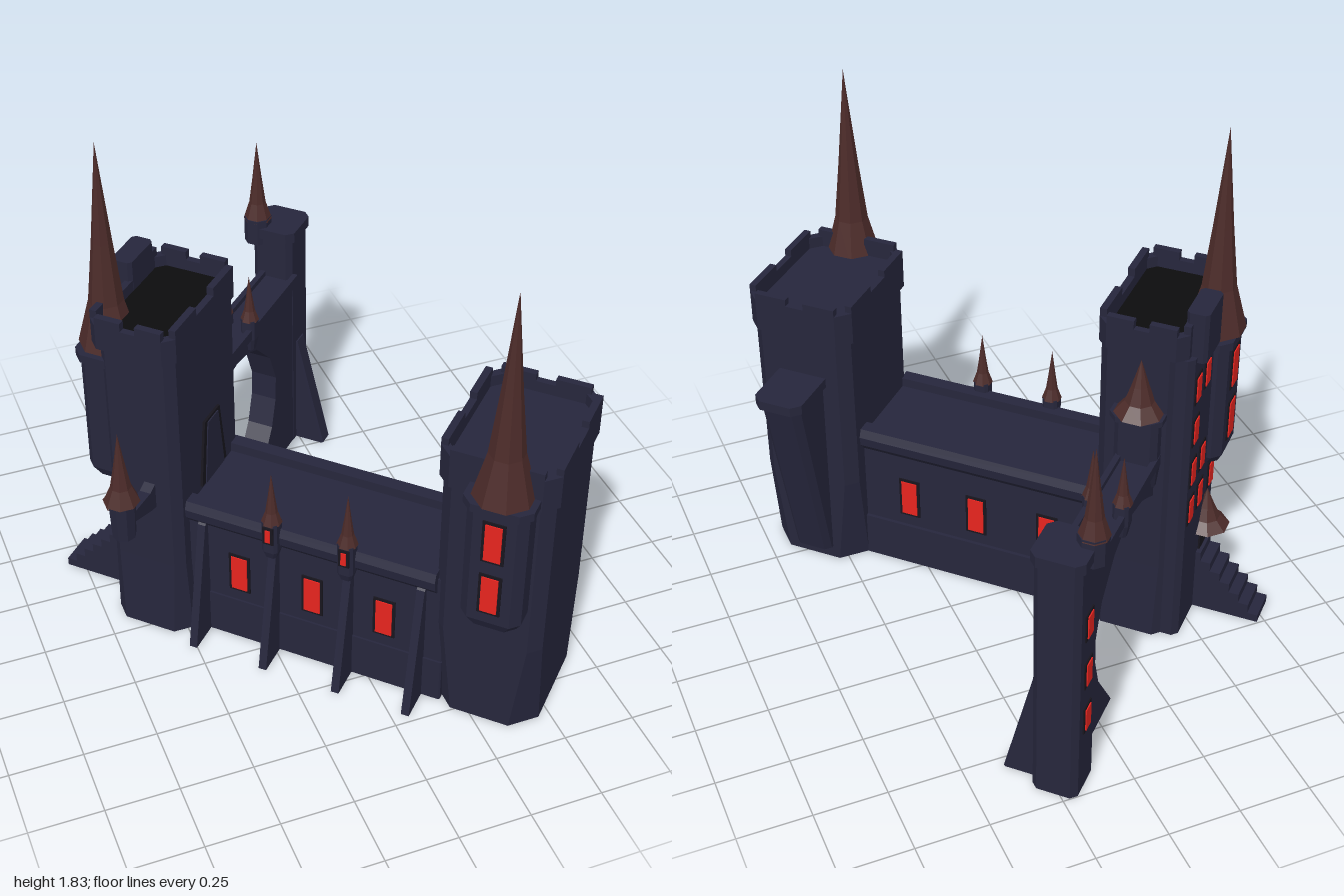
import * as THREE from 'three';

const mat = (name, color) => {
  const m = new THREE.MeshStandardMaterial({ color });
  m.name = name;
  m.flatShading = true;
  return m;
};

export function createModel() {
  const stone = mat('navyStone', 0x26263c);
  const roof = mat('brownRoof', 0x4c2b29);
  const glow = mat('redGlass', 0xe8241f);
  const trim = mat('darkTrim', 0x17151d);
  const pitch = mat('blackFloor', 0x0c0c0d);

  const root = new THREE.Group();
  root.name = 'castle';
  // The castle is laid out on its own axes, then turned by an eighth
  const plan = new THREE.Group();
  plan.name = 'castlePlan';
  plan.rotation.y = -Math.PI / 4;
  root.add(plan);

  const add = (name, geo, m, parent = plan) => {
    const mesh = new THREE.Mesh(geo, m);
    mesh.name = name;
    parent.add(mesh);
    return mesh;
  };
  const ring = (hw, hd, c) => [[hw, c - hd], [hw, hd - c], [hw - c, hd], [c - hw, hd],
    [-hw, hd - c], [-hw, c - hd], [c - hw, -hd], [hw - c, -hd]];

  // Chamfered block lofted through levels of [y, x0, x1, z0, z1, chamfer]
  function block(name, levels, m = stone, parent = plan) {
    const rows = levels.map(([y, x0, x1, z0, z1, c]) =>
      ring((x1 - x0) / 2, (z1 - z0) / 2, c).map(([x, z]) => [x + (x0 + x1) / 2, y, z + (z0 + z1) / 2]));
    const pos = [];
    const tri = (...p) => p.forEach((q) => pos.push(...q));
    for (let r = 0; r + 1 < rows.length; r++) {
      const b = rows[r], t = rows[r + 1];
      for (let i = 0; i < 8; i++) {
        const j = (i + 1) % 8;
        tri(b[i], t[i], b[j]);
        tri(b[j], t[i], t[j]);
      }
    }
    const lo = rows[0], hi = rows[rows.length - 1];
    for (let i = 1; i < 7; i++) {
      tri(lo[0], lo[i], lo[i + 1]);
      tri(hi[0], hi[i + 1], hi[i]);
    }
    const g = new THREE.BufferGeometry();
    g.setAttribute('position', new THREE.Float32BufferAttribute(pos, 3));
    g.computeVertexNormals();
    return add(name, g, m, parent);
  }
  const slab = (name, y0, y1, x0, x1, z0, z1, c = 0.01, m = stone, parent = plan) =>
    block(name, [[y0, x0, x1, z0, z1, c], [y1, x0, x1, z0, z1, c]], m, parent);

  // Outline in (z, y) extruded across x
  function fin(name, pts, cx, t, m = stone) {
    const s = new THREE.Shape(pts.map((p) => new THREE.Vector2(...p)));
    const g = new THREE.ExtrudeGeometry(s, { depth: t, bevelEnabled: false });
    g.rotateY(-Math.PI / 2).translate(cx + t / 2, 0, 0);
    return add(name, g, m);
  }

  // Concave eight-sided spire
  function spire(name, x, y, z, r, h, parent = plan) {
    const pts = [[0, 0], [r, 0], [r * 0.58, h * 0.22], [r * 0.34, h * 0.52], [0, h]];
    const g = new THREE.LatheGeometry(pts.map((p) => new THREE.Vector2(...p)), 8);
    add(name, g.rotateY(Math.PI / 8).translate(x, y, z), roof, parent);
  }

  // Framed window facing +z before it is turned
  function windowAt(x, y, z, turn, w, h, parent = plan) {
    const g = new THREE.Group();
    g.name = 'window';
    g.position.set(x, y, z);
    g.rotation.y = turn;
    parent.add(g);
    add('windowFrame', new THREE.BoxGeometry(w + 0.02, h + 0.02, 0.009), trim, g);
    add('windowPane', new THREE.BoxGeometry(w, h, 0.009).translate(0, 0, 0.004), glow, g);
  }

  // Hollow battlement with low merlons and a sunken floor
  function crown(name, x0, x1, z0, z1, y0, y1, y2, c, floorMat) {
    const hw = (x1 - x0) / 2, hd = (z1 - z0) / 2, cx = (x0 + x1) / 2, cz = (z0 + z1) / 2, t = 0.024;
    const vec = (a) => a.map((p) => new THREE.Vector2(...p));
    const s = new THREE.Shape(vec(ring(hw, hd, c)));
    s.holes.push(new THREE.Path(vec(ring(hw - t, hd - t, c * 0.8).reverse())));
    const g = new THREE.ExtrudeGeometry(s, { depth: y1 - y0, bevelEnabled: false });
    add(name, g.rotateX(-Math.PI / 2).translate(cx, y0, cz), stone);
    slab(name + 'Floor', y0, y1 - 0.04, x0 + t / 2, x1 - t / 2, z0 + t / 2, z1 - t / 2, c * 0.9, floorMat);
    for (const a of [-1, 1]) for (const b of [-1, 1]) {
      const lx = hw * 0.6, lz = hd * 0.6;
      add(name + 'Merlon', new THREE.BoxGeometry(lx, y2 - y1, t)
        .translate(cx + a * (hw - c - lx / 2), (y1 + y2) / 2, cz + b * (hd - t / 2)), stone);
      add(name + 'Merlon', new THREE.BoxGeometry(t, y2 - y1, lz)
        .translate(cx + a * (hw - t / 2), (y1 + y2) / 2, cz + b * (hd - c - lz / 2)), stone);
    }
  }

  // Hanging bay with two windows and a tall spire
  function bayTurret(name, x, z, top, turn) {
    const g = new THREE.Group();
    g.name = name;
    g.position.set(x, top, z);
    g.rotation.y = turn;
    plan.add(g);
    block('turretBody', [[-0.51, -0.08, 0.08, -0.1, 0.045, 0.03], [-0.47, -0.1, 0.1, -0.1, 0.065, 0.03],
      [-0.03, -0.1, 0.1, -0.1, 0.065, 0.03]], stone, g);
    slab('turretLedge', -0.03, 0, -0.113, 0.113, -0.1, 0.078, 0.035, stone, g);
    spire('turretSpire', 0, 0, -0.005, 0.1, 0.73, g);
    for (const y of [-0.14, -0.35]) windowAt(0, y, 0.065, 0, 0.055, 0.14, g);
  }

  // Keep, with its window facade towards -x
  block('keepBody', [[0, -0.585, -0.295, -0.045, 0.435, 0.05], [0.3, -0.575, -0.305, -0.035, 0.425, 0.03],
    [1.16, -0.575, -0.305, -0.035, 0.425, 0.03]]);
  slab('keepFacade', 0, 1.16, -0.62, -0.5, -0.02, 0.32, 0.02);
  crown('keepCrown', -0.6, -0.295, -0.04, 0.44, 1.16, 1.25, 1.28, 0.035, pitch);
  slab('keepHighMerlon', 1.14, 1.32, -0.65, -0.575, 0.015, 0.175, 0.012);
  bayTurret('keepTurret', -0.6, 0.306, 1.1, -Math.PI / 2);
  for (const [z, y] of [[0.04, 1.03], [0.04, 0.86], [0.04, 0.69], [0.04, 0.53], [0.138, 1.03],
    [0.138, 0.69], [0.138, 0.53], [0.263, 0.53]]) windowAt(-0.62, y, z, -Math.PI / 2, 0.042, 0.09);

  // Roof door of the keep, a tapered plate in a dark surround
  fin('roofDoorFrame', [[0.085, 0.55], [0.268, 0.55], [0.232, 0.8], [0.122, 0.8]], -0.302, 0.012, trim);
  fin('roofDoor', [[0.108, 0.55], [0.245, 0.55], [0.215, 0.79], [0.14, 0.79]], -0.299, 0.014);

  // Entrance stair, door and hood
  const steps = new THREE.Shape();
  steps.moveTo(-0.6, 0);
  steps.lineTo(-0.86, 0);
  for (let i = 0; i < 7; i++) {
    const x = -0.86 + i * 0.037, y = 0.03 + i * 0.036;
    steps.lineTo(x, y);
    steps.lineTo(x + 0.037, y);
  }
  add('entranceStair', new THREE.ExtrudeGeometry(steps, { depth: 0.12, bevelEnabled: false })
    .translate(0, 0, 0.16), stone);
  add('entranceDoor', new THREE.BoxGeometry(0.009, 0.12, 0.08).translate(-0.622, 0.3, 0.22), trim);
  spire('entranceHood', -0.63, 0.34, 0.22, 0.085, 0.15);

  // Door house from the keep to the wall walk
  block('walkDoorHouse', [[0.66, -0.52, -0.39, -0.06, 0, 0.01], [0.74, -0.53, -0.38, -0.09, 0, 0.02],
    [0.93, -0.53, -0.38, -0.09, 0, 0.02]]);
  slab('walkDoorLedge', 0.93, 0.95, -0.545, -0.365, -0.11, 0, 0.03);
  spire('walkDoorHood', -0.456, 0.95, -0.05, 0.085, 0.2);

  // Bartizan on a bracket
  fin('bartizanBracket', [[0.42, 0.55], [0.46, 0.56], [0.6, 0.61], [0.6, 0.64], [0.46, 0.635], [0.42, 0.65]], -0.41, 0.04);
  add('bartizanBody', new THREE.CylinderGeometry(0.046, 0.04, 0.15, 8).translate(-0.41, 0.645, 0.608), stone);
  spire('bartizanSpire', -0.41, 0.715, 0.608, 0.06, 0.27);

  // Great hall with rolled cornices
  slab('hallBody', 0, 0.53, -0.35, 0.62, 0, 0.355, 0.005);
  slab('hallPlinth', 0, 0.17, -0.35, 0.62, -0.012, 0.362, 0.005);
  for (const [z, s] of [[0.355, 1], [0, -1]]) {
    fin('hallCornice', [[z - 0.03 * s, 0.565], [z - 0.03 * s, 0.47], [z, 0.47], [z + 0.025 * s, 0.5],
      [z + 0.03 * s, 0.535], [z + 0.018 * s, 0.565]], 0.14, 0.9);
    for (const x of [-0.12, 0.15, 0.41]) windowAt(x, 0.295, z, s > 0 ? 0 : Math.PI, 0.058, 0.14);
  }
  [-0.25, 0.015, 0.285, 0.54].forEach((x, i) => {
    fin('hallButtress', [[0.34, 0], [0.475, 0], [0.375, 0.48], [0.34, 0.5]], x, 0.028);
    if (i === 1 || i === 2) {
      block('smallTurretBody', [[0.45, x - 0.02, x + 0.02, 0.36, 0.4, 0.008],
        [0.48, x - 0.028, x + 0.028, 0.352, 0.41, 0.01], [0.6, x - 0.028, x + 0.028, 0.352, 0.41, 0.01]]);
      windowAt(x, 0.555, 0.41, 0, 0.018, 0.05);
      spire('smallTurretSpire', x, 0.595, 0.381, 0.036, 0.2);
    }
  });

  // Great tower with its leaning bay
  block('greatTowerBody', [[0, 0.585, 0.95, -0.09, 0.38, 0.08], [0.35, 0.585, 0.95, -0.09, 0.38, 0.04],
    [0.96, 0.585, 0.95, -0.09, 0.38, 0.04]]);
  crown('greatTowerCrown', 0.573, 0.962, -0.1, 0.392, 0.955, 1.075, 1.1, 0.045, stone);
  bayTurret('greatTowerTurret', 0.8, 0.412, 1.0, 0);
  block('leaningBay', [[0.05, 0.69, 0.83, -0.12, 0, 0.02], [0.76, 0.685, 0.835, -0.275, 0, 0.025],
    [0.77, 0.672, 0.85, -0.295, 0, 0.03], [0.805, 0.672, 0.85, -0.295, 0, 0.03]]);

  // Arched wall walk
  fin('archWall', [[-0.02, 0.76], [-0.02, 0.6], [-0.08, 0.635], [-0.15, 0.67], [-0.25, 0.688], [-0.34, 0.675],
    [-0.41, 0.645], [-0.52, 0.535], [-0.57, 0.41], [-0.565, 0.31], [-0.53, 0.2], [-0.395, 0],
    [-0.73, 0], [-0.73, 0.76]].reverse(), -0.462, 0.1);
  slab('walkLedge', 0.745, 0.765, -0.532, -0.392, -0.73, -0.02, 0.004);
  for (const x of [-0.522, -0.402]) slab('walkParapet', 0.76, 0.785, x - 0.01, x + 0.01, -0.73, -0.02, 0.003);
  for (const x of [-0.514, -0.412]) {
    block('walkTurretBody', [[0.69, x - 0.018, x + 0.018, -0.376, -0.34, 0.008],
      [0.74, x - 0.027, x + 0.027, -0.386, -0.33, 0.01], [0.82, x - 0.027, x + 0.027, -0.386, -0.33, 0.01]]);
    spire('walkTurretSpire', x, 0.815, -0.358, 0.034, 0.18);
  }

  // Outer tower with its buttress
  slab('outerTowerBody', 0, 0.93, -0.565, -0.41, -0.865, -0.705, 0.02);
  slab('outerTowerCrown', 0.93, 0.97, -0.575, -0.4, -0.875, -0.695, 0.025);
  slab('outerTurretBase', 0.9, 1.0, -0.6, -0.51, -0.785, -0.69, 0.025);
  spire('outerTowerSpire', -0.556, 0.99, -0.738, 0.052, 0.315);
  block('outerButtress', [[0, -0.45, -0.295, -0.815, -0.75, 0.006], [0.46, -0.45, -0.405, -0.815, -0.75, 0.006]]);
  for (const y of [0.685, 0.49, 0.3]) windowAt(-0.565, y, -0.785, -Math.PI / 2, 0.042, 0.085);

  return root;
}
